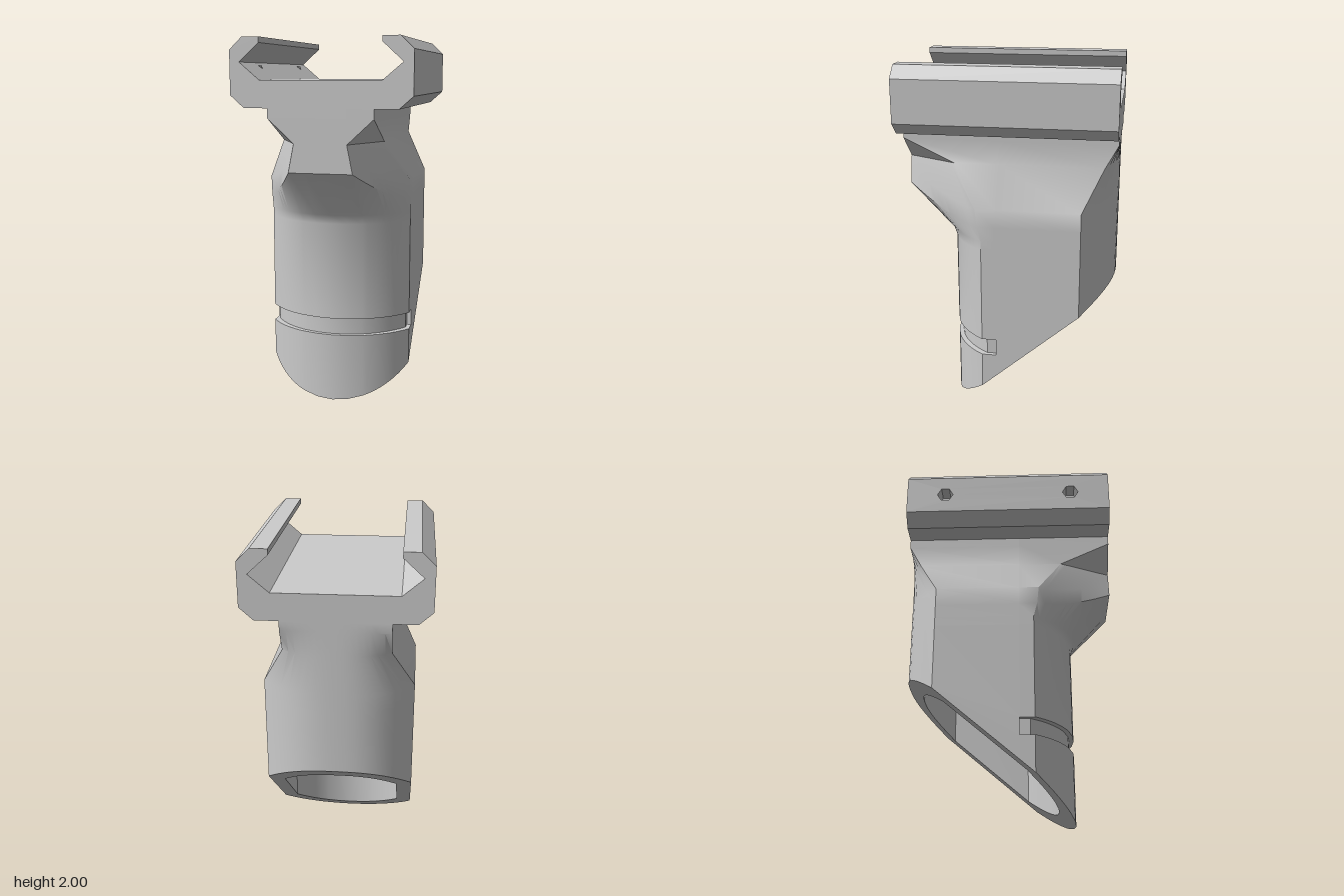
import * as THREE from 'three';
import { toCreasedNormals } from 'three/addons/utils/BufferGeometryUtils.js';

const grey = new THREE.MeshStandardMaterial({ color: 0xcccccc });
const greyInside = new THREE.MeshStandardMaterial({ color: 0xcccccc, side: THREE.BackSide });
const lerp = THREE.MathUtils.lerp;
const Z = 0.58; // half length

function mesh(name, geometry, material = grey) {
  const m = new THREE.Mesh(geometry, material);
  m.name = name;
  return m;
}

function surface(points, index) {
  const g = new THREE.BufferGeometry();
  g.setAttribute('position', new THREE.Float32BufferAttribute(points.flat(), 3));
  g.setIndex(index);
  return g;
}

// Outline rules of the grip
const cutY = z => Math.max(0, (0.35 - z) * 0.86); // slanted bottom
const frontArc = x => 0.35 - 0.486 + Math.sqrt(0.486 ** 2 - x * x);
const backArc = x => -Z + 0.18 * Math.pow(x / 0.4, 2.6);

// Half a cross-section, from the front centre round +x to the back centre
function halfSection({ y, yEdge = y, xf = 0.17, xe = 0.4, ze, add = 0, inset = 0, square = false, inner = false }) {
  const pts = [];
  const put = (x, py, z, cut = 0) => {
    let px = x * (1 - cut * 2.4);
    let pz = z;
    if (inner) {
      px *= 0.79;
      pz = -0.115 + (z + 0.115) * 0.81;
    }
    pts.push([px, Math.max(py, cutY(pz)), pz]);
  };
  // front: flat middle, then chamfer or arc
  for (let i = 0; i <= 12; i++) {
    const t = Math.max(0, (i - 2) / 10);
    const x = i < 2 ? xf * i / 2 : lerp(xf, xe, t);
    const z = ze === undefined ? frontArc(x) + add * (1 - t) - inset : lerp(Z, ze, t);
    put(x, lerp(yEdge, y, Math.pow(1 - t, 1.5)), z, inset);
  }
  // side, with a step where the groove ends
  put(xe, yEdge, 0.06, inset);
  put(xe, yEdge, 0.06);
  // back
  for (let i = 0; i <= 8; i++) {
    const x = xe * (1 - i / 8);
    put(x, yEdge, square ? -Z : backArc(x));
  }
  return pts;
}

function ring(spec) {
  const half = halfSection(spec);
  const other = half.slice(1, -1).reverse().map(([x, y, z]) => [-x, y, z]);
  return [...half, ...other];
}

function gripGeometry() {
  const rings = [
    // neck under the rail, front corners cut away
    { y: 1.64, xf: 0.28, xe: 0.28, ze: Z, square: true },
    { y: 1.59, xf: 0.28, xe: 0.28, ze: Z, square: true },
    { y: 1.46, xf: 0.14, xe: 0.28, ze: 0.3 },
    // shoulders
    { y: 1.385, yEdge: 1.24, xf: 0.155, ze: 0.17 },
    { y: 1.31, yEdge: 1.14, ze: 0.16 },
    // undercut into the column
    { y: 1.06, add: 0.018 },
    { y: 1.01 },
    // groove
    { y: 0.475 },
    { y: 0.475, inset: 0.025 },
    { y: 0.38, inset: 0.025 },
    { y: 0.38 },
    // slanted rim, cavity wall
    { y: 0 },
    { y: 0, inner: true },
    { y: 1.03, inner: true },
  ].map(ring);
  const n = rings[0].length;
  rings.push(Array.from({ length: n }, () => [0, 1.03, -0.1])); // cavity ceiling
  const index = [];
  for (let r = 0; r < rings.length - 1; r++) {
    for (let j = 0; j < n; j++) {
      const k = (j + 1) % n;
      const a = r * n + j, b = a + n, c = (r + 1) * n + k, d = r * n + k;
      index.push(a, b, c, a, c, d);
    }
  }
  return toCreasedNormals(surface(rings.flat(), index), 0.58);
}

// Rail clamp: swept profile with two hexagonal sockets in its -x wall
function buildRail() {
  const rail = new THREE.Group();
  rail.name = 'railClamp';
  const half = [[0.405, 1.64], [0.478, 1.705], [0.478, 1.935], [0.41, 2], [0.32, 2],
    [0.32, 1.97], [0.426, 1.873], [0.32, 1.783]];
  const profile = [...half, ...half.map(([x, y]) => [-x, y]).reverse()];

  const cap = new THREE.ShapeGeometry(new THREE.Shape(profile.map(p => new THREE.Vector2(...p))));
  const back = mesh('railBackEnd', cap);
  back.rotation.y = Math.PI;
  back.position.z = -Z;
  const front = mesh('railFrontEnd', cap);
  front.position.z = Z;
  rail.add(front, back);

  const points = [], index = [];
  profile.forEach(([x, y], i) => {
    const [x2, y2] = profile[(i + 1) % profile.length];
    if (x < -0.47 && x2 < -0.47) return; // socket wall is made below
    const o = points.length;
    points.push([x, y, Z], [x, y, -Z], [x2, y2, -Z], [x2, y2, Z]);
    index.push(o, o + 1, o + 2, o, o + 2, o + 3);
  });
  const sides = surface(points, index);
  sides.computeVertexNormals();
  rail.add(mesh('railSurfaces', sides));

  const wall = new THREE.Shape([[-Z, 1.705], [Z, 1.705], [Z, 1.935], [-Z, 1.935]]
    .map(p => new THREE.Vector2(...p)));
  const r = 0.045, depth = 0.09, hy = 1.82;
  for (const hz of [-0.36, 0.36]) {
    const hex = Array.from({ length: 6 }, (_, i) => new THREE.Vector2(
      hz + r * Math.cos(i * Math.PI / 3), hy + r * Math.sin(i * Math.PI / 3)));
    wall.holes.push(new THREE.Path(hex));
    const bore = new THREE.CylinderGeometry(r, r, depth, 6, 1, true).rotateZ(Math.PI / 2);
    const socket = mesh('screwSocket', toCreasedNormals(bore, 0.3), greyInside);
    socket.position.set(-0.478 + depth / 2, hy, hz);
    const floor = mesh('socketFloor', new THREE.CircleGeometry(r, 6).rotateY(-Math.PI / 2));
    floor.position.set(-0.478 + depth, hy, hz);
    rail.add(socket, floor);
  }
  const wallMesh = mesh('socketWall', new THREE.ShapeGeometry(wall).rotateY(-Math.PI / 2));
  wallMesh.position.x = -0.478;
  rail.add(wallMesh);
  return rail;
}

export function createModel() {
  const model = new THREE.Group();
  model.name = 'railGrip';
  model.add(buildRail(), mesh('grip', gripGeometry()));
  return model;
}
